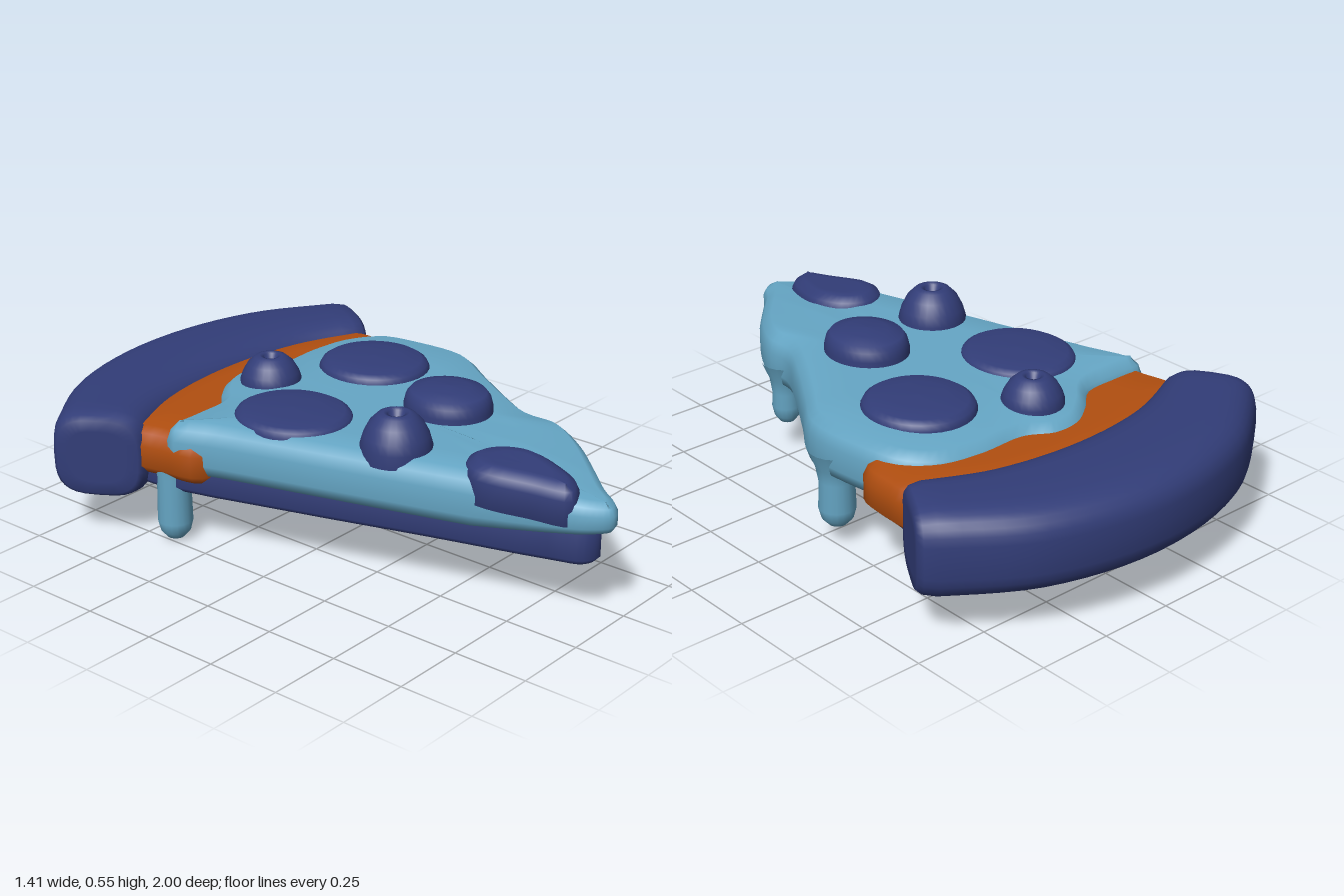
import * as THREE from 'three';

const mat = (name, color) => {
  const m = new THREE.MeshStandardMaterial({ color });
  m.name = name;
  return m;
};

// Smooth skin over closed rings of equal length
function loft(rings) {
  const n = rings[0].length, idx = [];
  for (let k = 0; k < rings.length - 1; k++) {
    for (let i = 0; i < n; i++) {
      const j = (i + 1) % n, a = k * n, b = a + n;
      idx.push(a + i, b + i, a + j, a + j, b + i, b + j);
    }
  }
  const g = new THREE.BufferGeometry();
  g.setAttribute('position', new THREE.Float32BufferAttribute(rings.flat(2), 3));
  g.setIndex(idx);
  g.computeVertexNormals();
  return g;
}

// Rounded slab: outline of [x, z] points, levels of [inset, y] from bottom to top
function slab(outline, levels, centre, bend = (x, y) => y) {
  const curve = new THREE.CatmullRomCurve3(
    outline.map(([x, z]) => new THREE.Vector3(x, 0, z)), true, 'centripetal');
  const n = outline.length * 4, edge = [];
  for (let i = 0; i < n; i++) {
    const t = curve.getTangent(i / n);
    edge.push({ p: curve.getPoint(i / n), nx: -t.z, nz: t.x });
  }
  const ring = ([inset, y], s = 1) => edge.map(({ p, nx, nz }) => {
    const x = centre[0] + (p.x + nx * inset - centre[0]) * s;
    const z = centre[1] + (p.z + nz * inset - centre[1]) * s;
    return [x, bend(x, y, z), z];
  });
  const first = levels[0], last = levels[levels.length - 1];
  return loft([
    ring(first, 0), ring(first, 0.5), ...levels.map((l) => ring(l)),
    ring(last, 0.7), ring(last, 0.4), ring(last, 0),
  ]);
}

const lathe = (pts, seg = 28) =>
  new THREE.LatheGeometry(pts.map(([r, y]) => new THREE.Vector2(r, y)), seg);

// Crust: rounded section swept between an inner and an outer arc
function crustGeometry() {
  const arc = (ex, ez, mx, mz, cz) => new THREE.CatmullRomCurve3(
    [[-ex, ez], [-mx, mz], [0, cz], [mx, mz], [ex, ez]].map(([x, z]) => new THREE.Vector3(x, 0, z)));
  const inner = arc(0.555, -0.45, 0.3, -0.55, -0.585);
  const outer = arc(0.715, -0.71, 0.4, -0.92, -1.0);
  const pow = (v) => Math.sign(v) * Math.abs(v) ** 0.62;
  const section = (t, s) => {
    const a = inner.getPoint(t), b = outer.getPoint(t), ring = [];
    for (let i = 0; i < 32; i++) {
      const w = (i / 32) * Math.PI * 2;
      const f = 0.5 - 0.5 * s * pow(Math.cos(w));
      ring.push([a.x + (b.x - a.x) * f, 0.285 + 0.145 * s * pow(Math.sin(w)), a.z + (b.z - a.z) * f]);
    }
    return ring;
  };
  const rings = [section(0, 0), section(0, 0.6), section(0, 0.86), section(0.012, 0.95)];
  for (let i = 1; i < 24; i++) rings.push(section(i / 24, 1));
  rings.push(section(0.988, 0.95), section(1, 0.86), section(1, 0.6), section(1, 0));
  return loft(rings);
}

export function createModel() {
  const group = new THREE.Group();
  const navy = mat('navy', 0x323d78);
  const blue = mat('light blue', 0x66a7c6);
  const orange = mat('orange', 0xb24f10);
  const add = (name, geo, material, x = 0, y = 0, z = 0) => {
    const m = new THREE.Mesh(geo, material);
    m.name = name;
    m.position.set(x, y, z);
    group.add(m);
    return m;
  };

  add('crust', crustGeometry(), navy);

  // Wedge of dough
  add('dough', slab(
    [[-0.52, -0.45], [-0.5, -0.58], [0, -0.7], [0.5, -0.58], [0.52, -0.45], [0.4, -0.05], [0.2, 0.4],
      [0, 0.86], [-0.05, 0.94], [-0.11, 0.92], [-0.15, 0.82], [-0.26, 0.45], [-0.4, 0]],
    [[0.02, 0.18], [0, 0.2], [0, 0.29], [0.02, 0.31]], [0, -0.1]), navy);

  // Band of sauce along the crust
  add('sauce', slab(
    [[-0.5, -0.25], [-0.54, -0.4], [-0.55, -0.52], [-0.4, -0.6], [0, -0.66], [0.4, -0.6], [0.56, -0.5],
      [0.57, -0.38], [0.55, -0.27], [0.45, -0.2], [0, -0.2]],
    [[0.03, 0.23], [0, 0.26], [0, 0.33], [0.015, 0.37], [0.04, 0.39]], [0, -0.42]), orange);

  // Melted cheese, thinner at the tip
  const sag = (x, y, z) => {
    if (z > 0.6) return 0.345 + (y - 0.345) * (1 - 1.25 * (z - 0.6));
    return z < -0.3 && y > 0.4 ? y - 0.1 * (-0.3 - z) : y;
  };
  add('cheese', slab(
    [[-0.53, -0.37], [-0.42, -0.38], [-0.28, -0.39], [-0.2, -0.46], [-0.1, -0.525], [0, -0.53], [0.09, -0.48],
      [0.25, -0.48], [0.4, -0.45], [0.5, -0.36], [0.54, -0.2], [0.54, 0], [0.45, 0.15], [0.34, 0.33],
      [0.275, 0.46], [0.27, 0.57], [0.2, 0.7], [0.1, 0.82], [0.02, 0.91], [-0.03, 0.98], [-0.08, 1],
      [-0.13, 0.95], [-0.17, 0.86], [-0.25, 0.6], [-0.38, 0.15], [-0.48, -0.2]],
    [[0.04, 0.29], [0.012, 0.265], [0, 0.3], [0, 0.37], [0.012, 0.41], [0.04, 0.435]], [0, 0.1], sag), blue);

  // Cheese drips
  for (const [x, z, low, r, flare] of [
    [-0.472, -0.405, 0, 0.057, 1.1], [0.22, 0.535, 0.105, 0.05, 1.6], [0.485, -0.06, 0.06, 0.06, 1.5]]) {
    const top = 0.33 - low;
    add('drip', lathe([[0, 0], [r * 0.5, 0.007], [r * 0.85, 0.03], [r, 0.065], [r * 0.95, top - 0.11],
      [r * 1.1, top - 0.06], [r * flare, top]], 18), blue, x, low, z);
  }

  // Domed round toppings
  for (const [x, z, rx, rz, top] of [
    [-0.237, -0.1, 0.18, 0.197, 0.462], [0.245, -0.17, 0.178, 0.187, 0.472], [0.108, 0.245, 0.133, 0.147, 0.515]]) {
    const h = top - 0.4;
    add('roundTopping', lathe([[1, 0], [1, 0.45 * h], [0.95, 0.7 * h], [0.85, 0.86 * h],
      [0.5, 0.97 * h], [0, h]], 36), navy, x, 0.4, z).scale.set(rx, 1, rz);
  }

  // Topping hanging over the left edge of the tip
  add('tipTopping', slab(
    [[-0.245, 0.62], [-0.2, 0.54], [-0.12, 0.515], [-0.04, 0.56], [0, 0.66], [-0.02, 0.77], [-0.07, 0.87],
      [-0.15, 0.9], [-0.2, 0.78]],
    [[0.03, 0.32], [0, 0.34], [0, 0.42], [0.012, 0.445], [0.04, 0.462]], [-0.12, 0.7],
    (x, y, z) => y - 0.08 * Math.max(0, z - 0.65)), navy);

  // Knobs with a small hole on top
  for (const [x, z, r, top] of [[-0.052, -0.363, 0.1, 0.512], [-0.22, 0.3, 0.112, 0.545]]) {
    const h = top - 0.4;
    add('knob', lathe([[r, 0], [r, 0.3 * h], [r * 0.92, 0.52 * h], [r * 0.75, 0.78 * h], [r * 0.52, 0.96 * h],
      [r * 0.36, h], [r * 0.24, 0.97 * h], [r * 0.17, 0.8 * h], [0, 0.76 * h]]), navy, x, 0.4, z);
  }
  return group;
}
